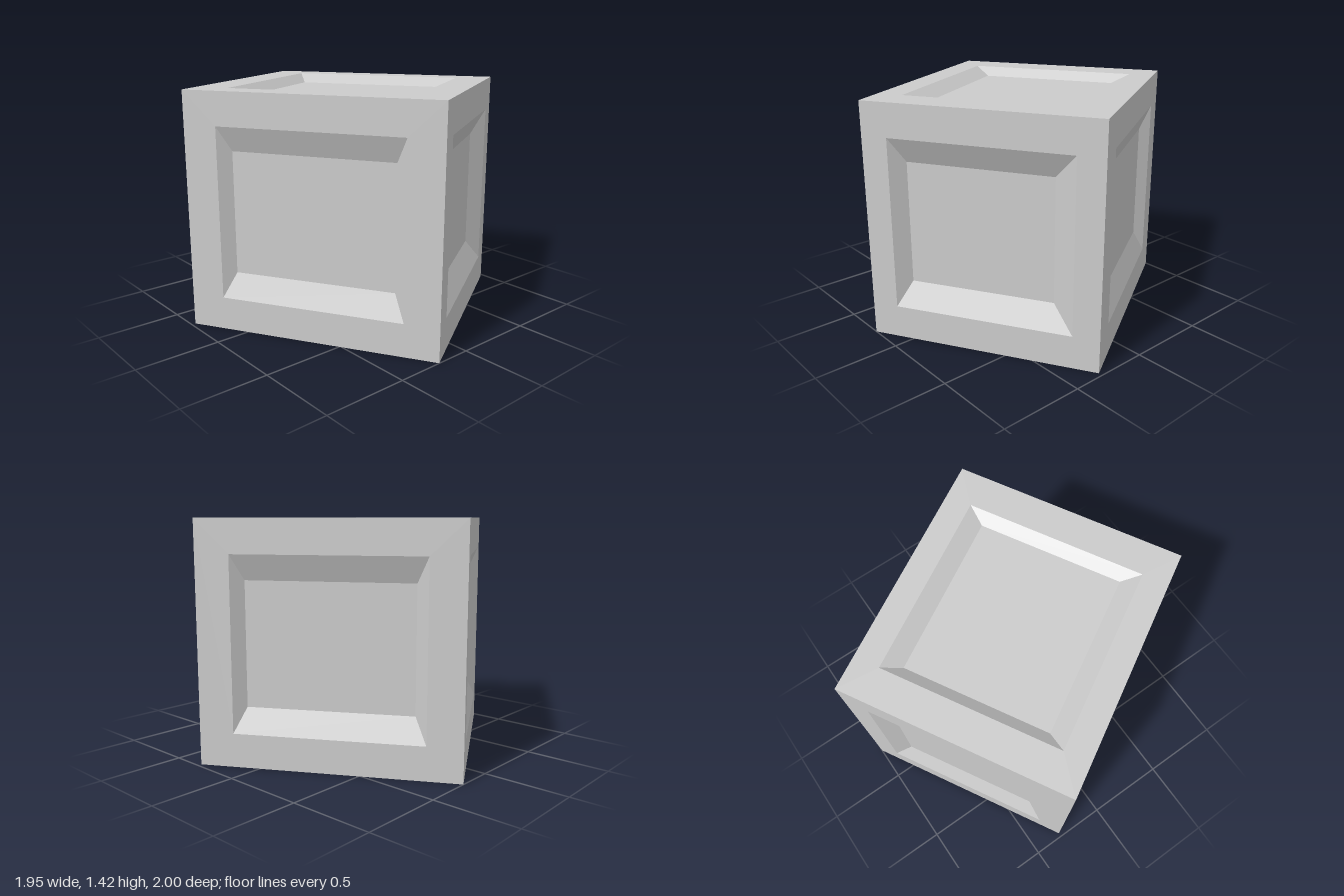
import * as THREE from 'three';

// Half sizes of the crate on its own axes: body, recess opening, recess floor
const BODY = { x: 0.69, y: 0.71, z: 0.756 };
const OPENING = { x: 0.535, y: 0.512, z: 0.553 };
const FLOOR = { x: 0.432, y: 0.365, z: 0.485 };

// One side facing +z: flat border, sloped recess walls and sunken floor
function sideGeometry(u, v, depth, shift) {
  const loops = [
    [BODY, 0, 0],
    [OPENING, 0, 0],
    [FLOOR, -depth, shift],
  ];
  const points = [];
  for (const [half, z, dx] of loops) {
    for (const [sx, sy] of [[-1, -1], [1, -1], [1, 1], [-1, 1]]) {
      points.push(sx * half[u] + dx, sy * half[v], z);
    }
  }
  const index = [];
  const quad = (a, b, c, d) => index.push(a, b, c, a, c, d);
  for (let ring = 0; ring < 2; ring++) {
    for (let i = 0; i < 4; i++) {
      const a = ring * 4 + i;
      const b = ring * 4 + (i + 1) % 4;
      quad(a, b, b + 4, a + 4);
    }
  }
  quad(8, 9, 10, 11);
  const indexed = new THREE.BufferGeometry();
  indexed.setAttribute('position', new THREE.Float32BufferAttribute(points, 3));
  indexed.setIndex(index);
  const geometry = indexed.toNonIndexed();
  geometry.computeVertexNormals();
  return geometry;
}

export function createModel() {
  const model = new THREE.Group();
  model.name = 'panelledCrate';
  const material = new THREE.MeshStandardMaterial({ color: 0xcccccc, flatShading: true });

  // name, width axis, height axis, normal axis, tilt, turn, recess depth, floor shift
  const sides = [
    ['frontPanel', 'x', 'y', 'z', 0, 0, 0.073, -0.026],
    ['backPanel', 'x', 'y', 'z', 0, Math.PI, 0.06, 0],
    ['leftPanel', 'z', 'y', 'x', 0, Math.PI / 2, 0.06, 0],
    ['rightPanel', 'z', 'y', 'x', 0, -Math.PI / 2, 0.06, 0],
    ['topPanel', 'x', 'z', 'y', -Math.PI / 2, 0, 0.053, 0],
    ['bottomPanel', 'x', 'z', 'y', Math.PI / 2, 0, 0.053, 0],
  ];
  for (const [name, u, v, n, tilt, turn, depth, shift] of sides) {
    const side = new THREE.Mesh(sideGeometry(u, v, depth, shift), material);
    side.name = name;
    side.rotation.set(tilt, turn, 0);
    side.translateZ(BODY[n]);
    model.add(side);
  }

  // The crate stands turned on the floor
  model.rotation.y = Math.PI / 6;
  model.position.y = BODY.y;
  return model;
}
